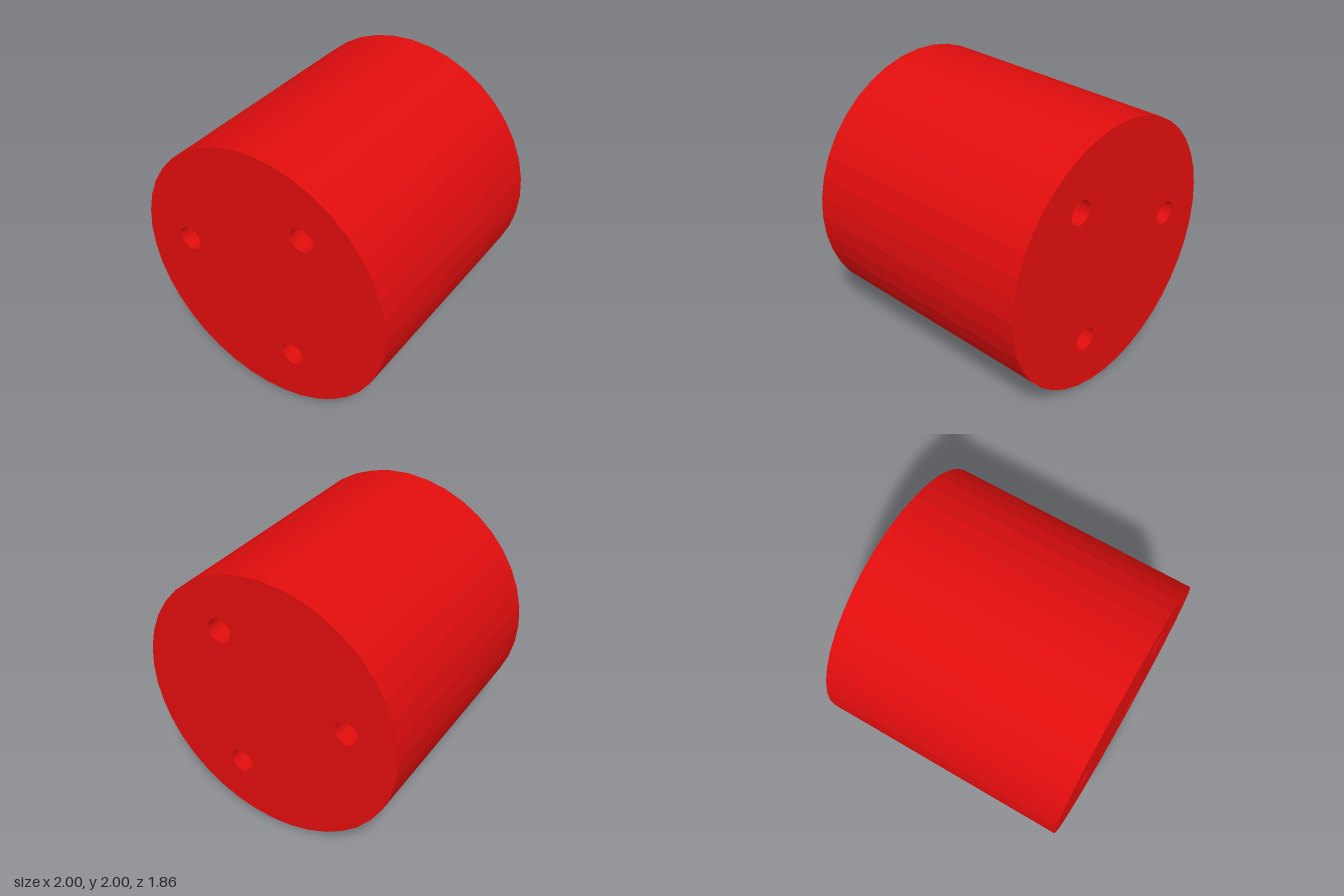
import * as THREE from 'three';

const RADIUS = 1, LENGTH = 1.86, HOLE_RADIUS = 0.09;
// hole centres on the end face, relative to the cylinder axis
const HOLES = [[0.36, 0.51], [-0.62, 0.07], [0.25, -0.565]];

export function createModel() {
  const group = new THREE.Group();
  group.name = 'drilledCylinder';

  // round outline pierced by three through holes
  const outline = new THREE.Shape().absarc(0, 0, RADIUS, 0, Math.PI * 2, false);
  for (const [x, y] of HOLES) {
    outline.holes.push(new THREE.Path().absarc(x, y, HOLE_RADIUS, 0, Math.PI * 2, true));
  }

  // solid along z; 20 curve segments give 40 flat sides
  const geometry = new THREE.ExtrudeGeometry(outline, {
    depth: LENGTH, bevelEnabled: false, curveSegments: 20,
  });
  geometry.translate(0, RADIUS, -LENGTH / 2);

  const body = new THREE.Mesh(geometry, new THREE.MeshStandardMaterial({ color: 0xe00d0d }));
  body.name = 'cylinderBody';
  group.add(body);
  return group;
}
